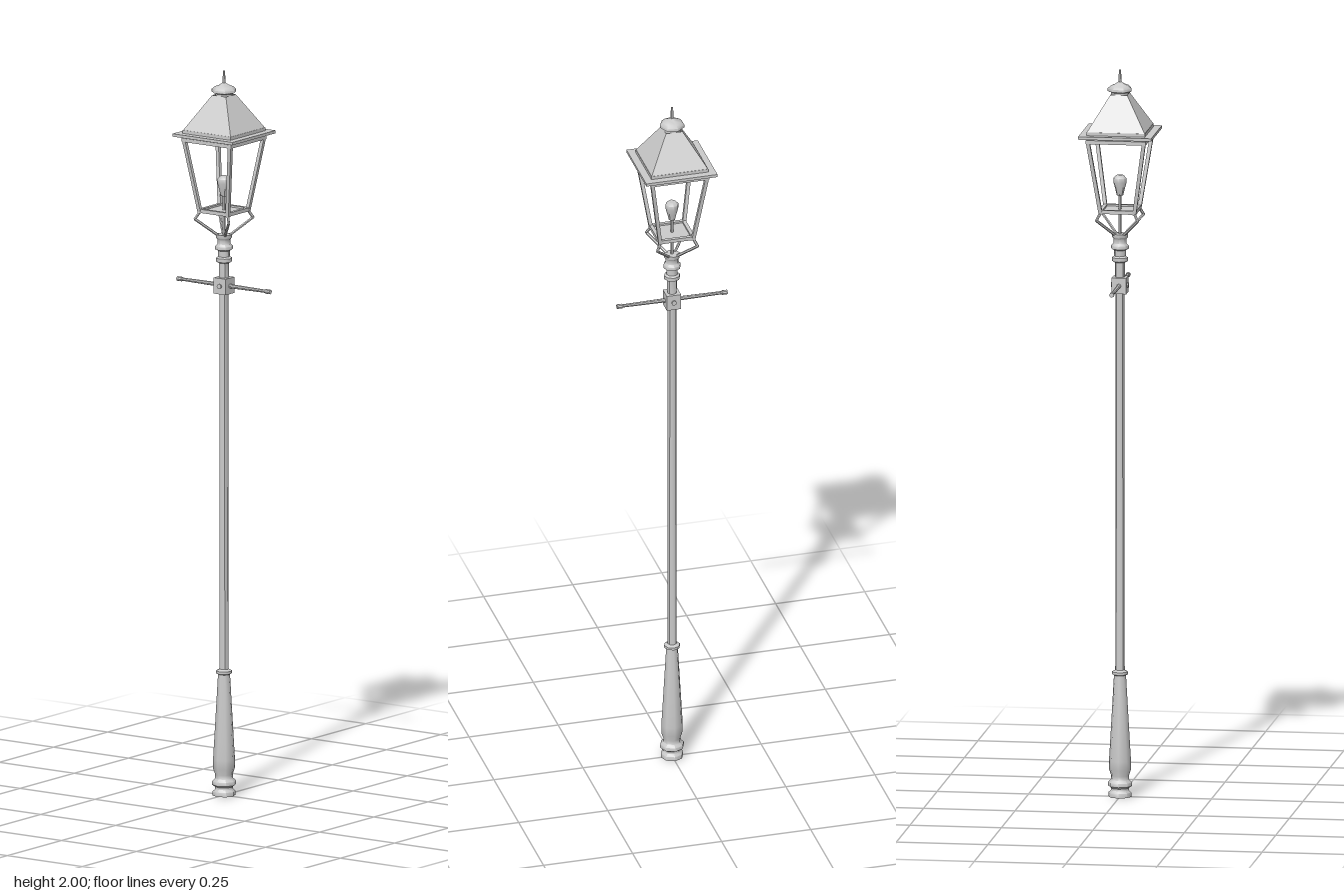
import * as THREE from 'three';
import { toCreasedNormals } from 'three/addons/utils/BufferGeometryUtils.js';

const grey = new THREE.MeshStandardMaterial({ color: 0xcccccc, side: THREE.DoubleSide });

export function createModel() {
  const model = new THREE.Group();

  const add = (name, geometry, parent = model) => {
    const mesh = new THREE.Mesh(geometry, grey);
    mesh.name = name;
    parent.add(mesh);
    return mesh;
  };
  // Turned part from [radius, height] pairs, bottom to top
  const turned = (name, profile, sides = 8) => {
    const points = profile.map(([r, y]) => new THREE.Vector2(r, y));
    return add(name, toCreasedNormals(new THREE.LatheGeometry(points, sides), 0.9));
  };
  // Straight rod between two points; four sides make a square bar
  const rod = (name, a, b, r, sides = 6, r2 = r) => {
    const from = new THREE.Vector3(...a), to = new THREE.Vector3(...b);
    const dir = to.clone().sub(from);
    const geo = new THREE.CylinderGeometry(r2, r, dir.length(), sides);
    if (sides === 4) geo.rotateY(Math.PI / 4);
    const mesh = add(name, toCreasedNormals(geo, 0.9));
    mesh.position.copy(from).add(to).multiplyScalar(0.5);
    mesh.quaternion.setFromUnitVectors(new THREE.Vector3(0, 1, 0), dir.normalize());
    return mesh;
  };
  // Square frustum given by half-widths
  const frustum = (name, bottom, top, y0, y1, open = false) => {
    const geo = new THREE.CylinderGeometry(top * Math.SQRT2, bottom * Math.SQRT2, y1 - y0, 4, 1, open);
    geo.rotateY(Math.PI / 4).translate(0, (y0 + y1) / 2, 0);
    return add(name, toCreasedNormals(geo, 0.3));
  };

  // Base and post
  turned('base', [
    [0, 0], [0.031, 0], [0.031, 0.012], [0.024, 0.018], [0.024, 0.024],
    [0.033, 0.03], [0.033, 0.04], [0.025, 0.047], [0.024, 0.058], [0.03, 0.075],
    [0.03, 0.1], [0.027, 0.15], [0.017, 0.325], [0.016, 0.334],
    [0.022, 0.337], [0.022, 0.344], [0.013, 0.349],
  ]);
  turned('post', [[0.013, 0.345], [0.012, 1.39]]);

  // Ladder rest
  add('crossbarBlock', new THREE.BoxGeometry(0.04, 0.044, 0.04)).position.y = 1.408;
  for (const s of [-1, 1]) {
    rod('crossbar', [0, 1.408, s * 0.015], [0, 1.408, s * 0.145], 0.006, 8, 0.0045);
    rod('crossbarTip', [0, 1.408, s * 0.14], [0, 1.408, s * 0.155], 0.0065, 8);
    rod('blockBolt', [s * 0.018, 1.408, 0], [s * 0.024, 1.408, 0], 0.007, 8);
  }

  // Moulded neck
  turned('neck', [
    [0.013, 1.425], [0.014, 1.47], [0.022, 1.474], [0.022, 1.484], [0.016, 1.488],
    [0.016, 1.504], [0.024, 1.508], [0.024, 1.517], [0.018, 1.523], [0.018, 1.535],
    [0.022, 1.54], [0.022, 1.549], [0, 1.549],
  ]);

  // Lantern cage: corner brackets, corner bars and the two square rims
  for (const sx of [-1, 1]) for (const sz of [-1, 1]) {
    const at = (h, y) => [sx * h, y, sz * h];
    rod('bracket', at(0.01, 1.545), at(0.057, 1.594), 0.004);
    rod('bracketReturn', at(0.057, 1.592), at(0.045, 1.616), 0.004);
    rod('cornerBar', at(0.046, 1.61), at(0.077, 1.815), 0.007, 4);
  }
  for (const [h, y] of [[0.046, 1.616], [0.077, 1.813]]) {
    for (const s of [-1, 1]) {
      add('rimBar', new THREE.BoxGeometry(2 * h + 0.01, 0.01, 0.01)).position.set(0, y, s * h);
      add('rimBar', new THREE.BoxGeometry(0.01, 0.01, 2 * h + 0.01)).position.set(s * h, y, 0);
    }
  }
  add('lanternFloor', new THREE.BoxGeometry(0.09, 0.004, 0.09)).position.y = 1.614;

  // Burner
  rod('burnerStem', [0, 1.545, 0], [0, 1.665, 0], 0.004);
  turned('burner', [[0, 1.652], [0.009, 1.655], [0.013, 1.672], [0.018, 1.69], [0.018, 1.702], [0.01, 1.71], [0, 1.71]]);

  // Roof
  frustum('eave', 0.1, 0.1, 1.823, 1.831);
  frustum('eaveStep', 0.08, 0.08, 1.83, 1.84);
  frustum('roof', 0.079, 0.023, 1.84, 1.934, true);

  // Cap and finial
  turned('cap', [
    [0.024, 1.925], [0.024, 1.938], [0.034, 1.942], [0.034, 1.949],
    [0.026, 1.956], [0.012, 1.962], [0.005, 1.967], [0, 1.968],
  ], 7);
  rod('finial', [0, 1.962, 0], [0, 2, 0], 0.005, 6, 0.003);

  return model;
}
